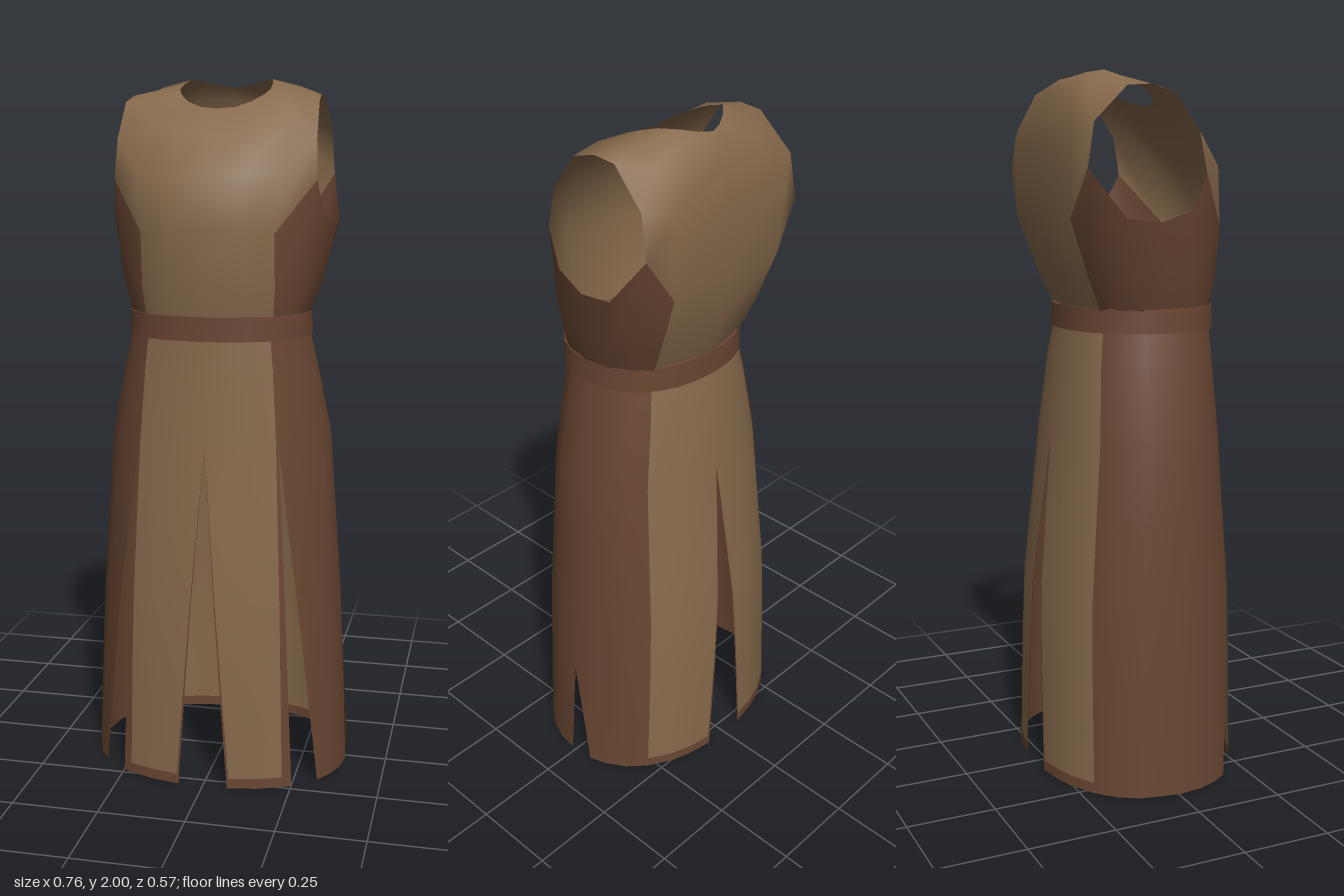
import * as THREE from 'three';
import { mergeVertices } from 'three/addons/utils/BufferGeometryUtils.js';

const cloth = new THREE.MeshStandardMaterial({ color: 0x86694b, side: THREE.DoubleSide });
cloth.name = 'tanCloth';
const trim = new THREE.MeshStandardMaterial({ color: 0x694632, side: THREE.DoubleSide });
trim.name = 'brownLeather';
const TAN = 0, BROWN = 1, GAP = -1;

// Cross-sections by height: y, half width, front z, back z
const SECTIONS = [
  [0, 0.38, 0.29, -0.288], [0.5, 0.357, 0.287, -0.28], [1.0, 0.32, 0.25, -0.225],
  [1.2, 0.278, 0.24, -0.203], [1.3, 0.25, 0.234, -0.182], [1.36, 0.25, 0.234, -0.182],
];

function sectionAt(y) {
  let i = 0;
  while (i < SECTIONS.length - 2 && y > SECTIONS[i + 1][0]) i++;
  const a = SECTIONS[i], b = SECTIONS[i + 1];
  const t = (y - a[0]) / (b[0] - a[0]);
  return a.map((v, k) => THREE.MathUtils.lerp(v, b[k], t));
}

// Point on the body outline; 0 degrees is the front, 90 is the side
function outline(deg, y, grow = 0) {
  const [, w, front, back] = sectionAt(y);
  const s = Math.sin(THREE.MathUtils.degToRad(deg)), c = Math.cos(THREE.MathUtils.degToRad(deg));
  const soft = (v) => Math.sign(v) * Math.pow(Math.abs(v), 0.9);
  const mid = (front + back) / 2, depth = (front - back) / 2;
  return [(w + grow) * soft(s), y, mid + (depth + grow) * soft(c)];
}

// Collects coloured quads and turns them into one smooth shell
class Shell {
  constructor() { this.tris = [[], []]; }
  quad(a, b, c, d, colour, side) {
    if (colour === GAP) return;
    const q = [a, b, c, d].map((p) => [p[0] * side, p[1], p[2]]);
    if (side < 0) q.reverse();
    for (const i of [0, 1, 2, 0, 2, 3]) this.tris[colour].push(...q[i]);
  }
  mesh(name) {
    const all = this.tris[0].concat(this.tris[1]);
    let geometry = new THREE.BufferGeometry();
    geometry.setAttribute('position', new THREE.Float32BufferAttribute(all, 3));
    geometry = mergeVertices(geometry, 1e-4);
    const split = this.tris[0].length / 3;
    geometry.clearGroups();
    geometry.addGroup(0, split, 0);
    geometry.addGroup(split, all.length / 3 - split, 1);
    geometry.computeVertexNormals();
    const mesh = new THREE.Mesh(geometry, [cloth, trim]);
    mesh.name = name;
    return mesh;
  }
}

// Skirt seams: angle at waist, at slit top, at hem, colour of the strip that follows, slit top height
const SEAMS = [
  [0, 0, 9, BROWN], [0, 0, 10, TAN], [20, 17, 22, TAN], [40.5, 35, 34, BROWN],
  [41.5, 36.5, 39, GAP], [41.5, 36.5, 55, BROWN], [58, 54, 65, BROWN], [75, 73, 77, BROWN],
  [90, 90, 88, GAP, 0.33], [90, 90, 100, BROWN, 0.33], [107, 107, 110, BROWN], [123, 123, 123, BROWN],
  [139, 138, 136, TAN], [152, 152, 150, TAN], [166, 166, 160, TAN],
  [180, 180, 170.5, BROWN], [180, 180, 171.5, GAP],
];

function seamAngle([waist, mid, hem, , top = 1.0], y) {
  return y > top
    ? THREE.MathUtils.mapLinear(y, 1.32, top, waist, mid)
    : THREE.MathUtils.mapLinear(y, top, 0, mid, hem);
}

function makeSkirt() {
  const shell = new Shell();
  const rows = [0, 0.03, 0.17, 0.33, 0.55, 0.78, 1.0, 1.2, 1.32];
  for (const side of [1, -1]) {
    // The short side vent exists on the left only
    const seams = SEAMS.map((s) => (side < 0 && s[4] ? [90, 90, 90, s[3]] : s));
    for (let i = 0; i < seams.length - 1; i++) {
      for (let r = 0; r < rows.length - 1; r++) {
        const at = (k, y) => outline(seamAngle(seams[k], y), y);
        let colour = seams[i][3];
        if (colour === TAN && r === 0) colour = BROWN; // hem border
        shell.quad(at(i, rows[r]), at(i + 1, rows[r]), at(i + 1, rows[r + 1]), at(i, rows[r + 1]), colour, side);
      }
    }
  }
  return shell.mesh('skirt');
}

// Bodice ribs from front to back: angle at waist, then chest, upper chest, shoulder and neck points
const RIBS = [
  [0, [0, 1.6, 0.256], [0, 1.73, 0.238], [0, 1.84, 0.157], [0, 1.91, 0.078]],
  [20, [0.1, 1.6, 0.25], [0.1, 1.73, 0.232], [0.1, 1.85, 0.15], [0.05, 1.915, 0.066]],
  [43, [0.185, 1.58, 0.215], [0.2, 1.74, 0.2], [0.19, 1.87, 0.115], [0.09, 1.93, 0.05]],
  [56, [0.285, 1.72, 0.12], [0.28, 1.83, 0.1], [0.2, 1.91, 0.065], [0.118, 1.95, 0.01]],
  [70, [0.3, 1.62, 0.07], [0.275, 1.93, 0.03], [0.2, 1.95, 0.02], [0.13, 1.965, -0.02]],
  [90, [0.318, 1.59, -0.03], [0.27, 1.95, -0.04], [0.2, 1.965, -0.05], [0.128, 1.98, -0.06]],
  [108, [0.315, 1.6, -0.13], [0.27, 1.945, -0.11], [0.2, 1.975, -0.11], [0.12, 1.995, -0.11]],
  [124, [0.285, 1.73, -0.23], [0.28, 1.85, -0.21], [0.2, 1.94, -0.185], [0.08, 1.99, -0.145]],
  [140, [0.2, 1.6, -0.245], [0.2, 1.82, -0.248], [0.12, 1.94, -0.215], [0.04, 1.98, -0.17]],
  [180, [0, 1.6, -0.25], [0, 1.82, -0.255], [0, 1.94, -0.222], [0, 1.975, -0.185]],
];

function makeBodice() {
  const shell = new Shell();
  // Each rib starts at the waist and swells slightly before the chest
  const ribs = RIBS.map(([deg, chest, ...upper]) => {
    const waist = outline(deg, 1.33);
    const bulge = waist.map((v, k) => THREE.MathUtils.lerp(v, chest[k], 0.4) * (k === 1 ? 1 : 1.03));
    return [waist, bulge, chest, ...upper];
  });
  for (const side of [1, -1]) {
    for (let i = 0; i < ribs.length - 1; i++) {
      const flank = i >= 2 && i < 8, armhole = i >= 3 && i < 7;
      for (let r = 0; r < 5; r++) {
        const colour = r < 2 && flank ? BROWN : r === 2 && armhole ? GAP : TAN;
        shell.quad(ribs[i][r], ribs[i + 1][r], ribs[i + 1][r + 1], ribs[i][r + 1], colour, side);
      }
    }
  }
  return shell.mesh('bodice');
}

// Belt: a band with narrow top and bottom lips
function makeBelt() {
  const group = new THREE.Group();
  group.name = 'belt';
  const profile = [[1.288, -0.004], [1.288, 0.009], [1.355, 0.009], [1.355, -0.004]];
  const names = ['beltLowerLip', 'beltBand', 'beltUpperLip'];
  for (let r = 0; r < 3; r++) {
    const shell = new Shell();
    for (let d = 0; d < 360; d += 12) {
      const at = (deg, k) => outline(deg, ...profile[k]);
      shell.quad(at(d, r), at(d + 12, r), at(d + 12, r + 1), at(d, r + 1), BROWN, 1);
    }
    group.add(shell.mesh(names[r]));
  }
  return group;
}

export function createModel() {
  const model = new THREE.Group();
  model.name = 'sleevelessRobe';
  model.add(makeSkirt(), makeBodice(), makeBelt());
  return model;
}
